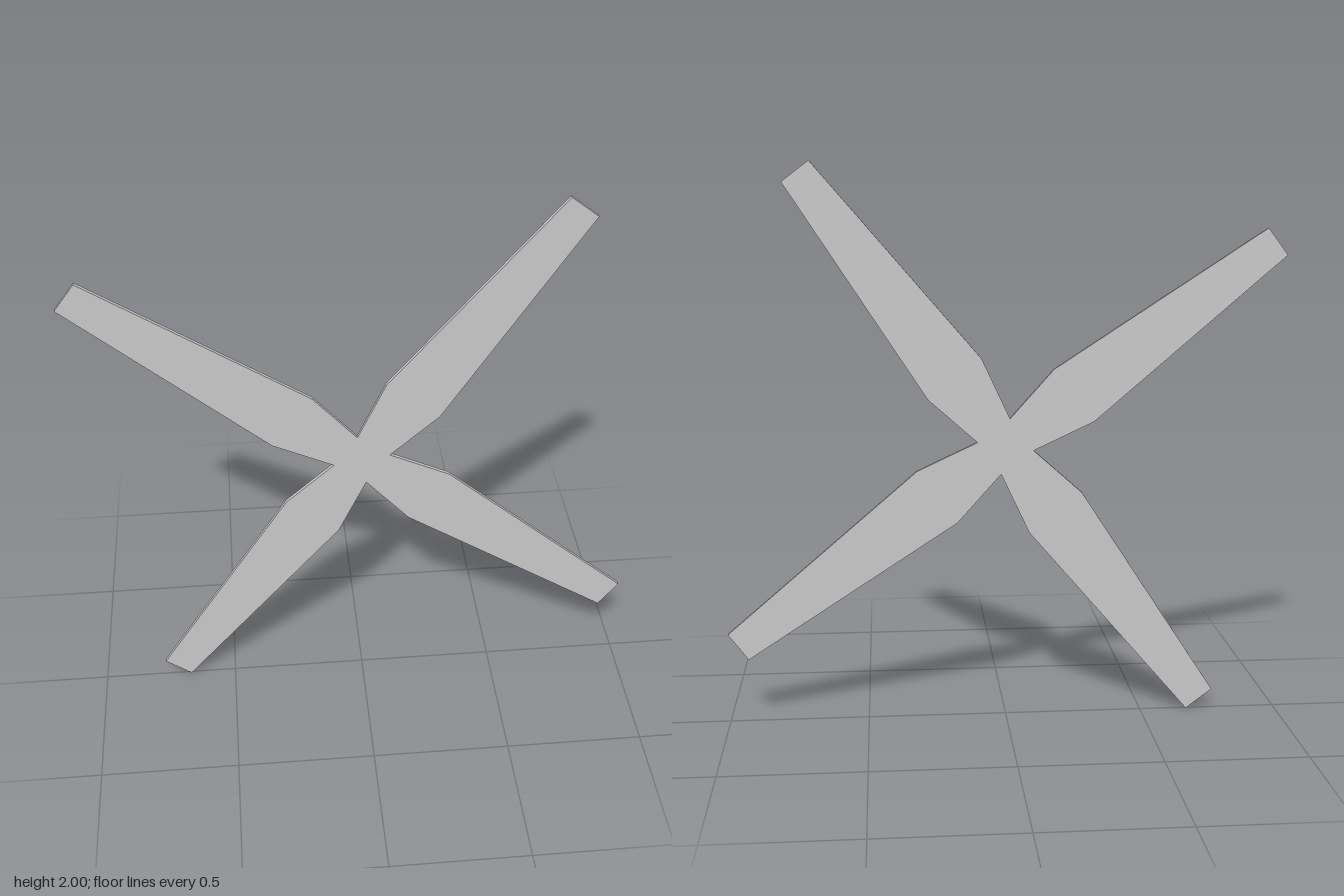
import * as THREE from 'three';

const THICKNESS = 0.015;

// Outline of one blade, from its root to the root shared with the next blade
const BLADE = [[0.1, 0.016], [0.275, 0.172], [0.767, 0.928], [0.672, 1], [0.085, 0.316]];

export function createModel() {
  const group = new THREE.Group();
  group.name = 'propeller';

  // Four blades joined in one flat outline, each a quarter turn on
  const outline = [];
  for (let i = 0; i < 4; i++) {
    for (const [x, y] of BLADE) {
      outline.push(new THREE.Vector2(x, y).rotateAround(new THREE.Vector2(), i * Math.PI / 2));
    }
  }

  const geometry = new THREE.ExtrudeGeometry(new THREE.Shape(outline), {
    depth: THICKNESS, bevelEnabled: false,
  });
  geometry.translate(0, 1, -THICKNESS / 2);

  const blades = new THREE.Mesh(geometry, new THREE.MeshStandardMaterial({ color: 0xcccccc, flatShading: true }));
  blades.name = 'blades';
  group.add(blades);
  return group;
}
